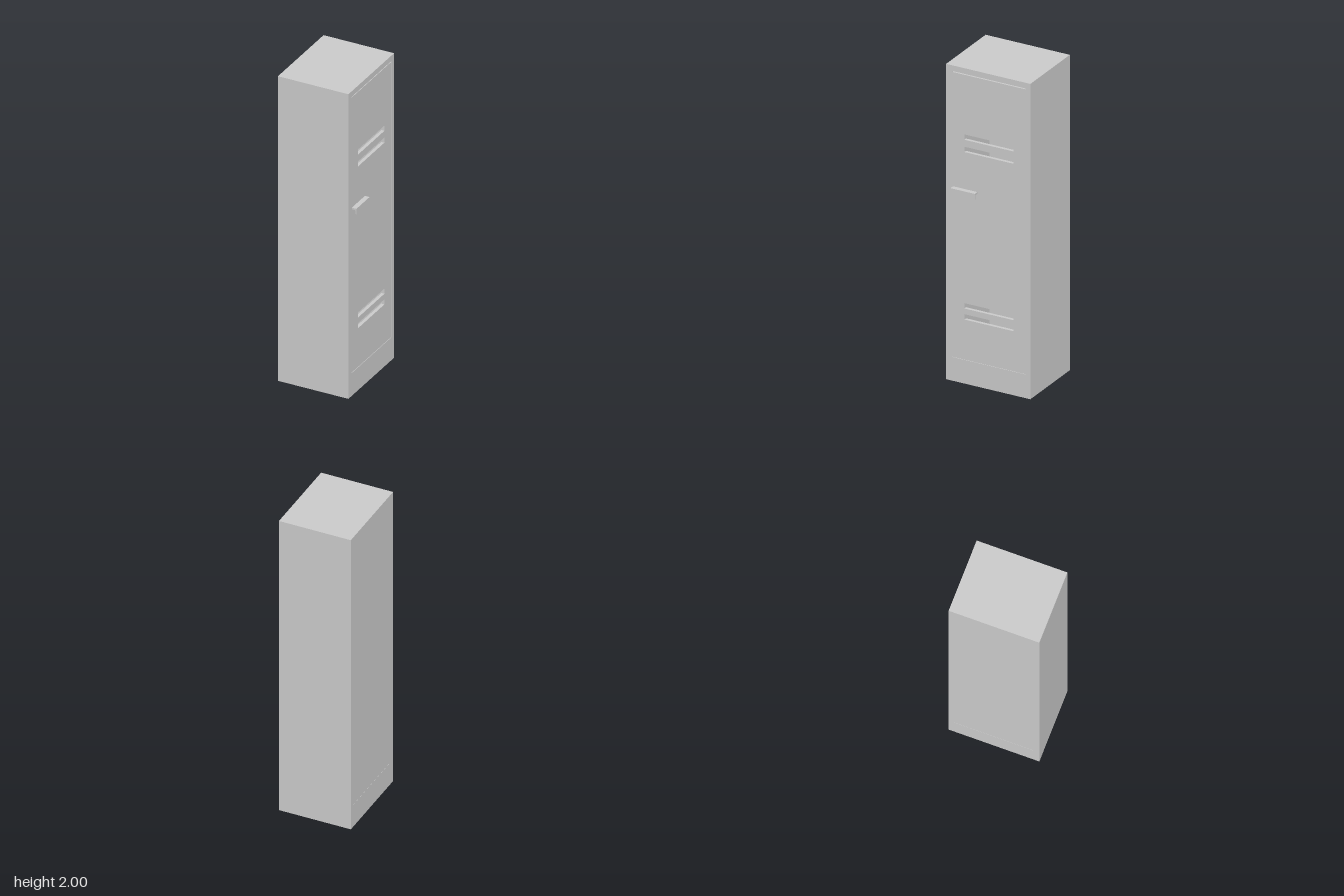
import * as THREE from 'three';

const material = new THREE.MeshStandardMaterial({ color: 0xcccccc, flatShading: true });

// Rectangle outline in the side plane: u runs along -z, y is up
function rectangle(PathType, u0, u1, y0, y1) {
  const p = new PathType();
  p.moveTo(u0, y0);
  p.lineTo(u1, y0);
  p.lineTo(u1, y1);
  p.lineTo(u0, y1);
  p.closePath();
  return p;
}

// Panel with rectangular holes, extruded along x from x0 to x1
function panel(name, outline, holes, x0, x1) {
  const shape = rectangle(THREE.Shape, ...outline);
  for (const h of holes) shape.holes.push(rectangle(THREE.Path, ...h));
  const geometry = new THREE.ExtrudeGeometry(shape, { depth: x1 - x0, bevelEnabled: false });
  geometry.rotateY(Math.PI / 2).translate(x0, 0, 0);
  const mesh = new THREE.Mesh(geometry, material);
  mesh.name = name;
  return mesh;
}

function box(name, x0, x1, y0, y1, z0, z1) {
  const geometry = new THREE.BoxGeometry(x1 - x0, y1 - y0, z1 - z0);
  const mesh = new THREE.Mesh(geometry, material);
  mesh.position.set((x0 + x1) / 2, (y0 + y1) / 2, (z0 + z1) / 2);
  mesh.name = name;
  return mesh;
}

export function createModel() {
  const locker = new THREE.Group();
  locker.name = 'locker';
  const back = -0.245, face = 0.215;

  // Hollow cabinet: walls, top and plinth as one frame, closed by a back panel
  const opening = [-0.241, 0.246, 0.15, 1.964];
  locker.add(panel('cabinetShell', [-0.279, 0.279, 0, 2], [opening], back, face));
  locker.add(box('backPanel', back + 0.001, back + 0.02, 0.15, 1.964, -0.246, 0.241));

  // Inner shelf above the upper vents
  locker.add(box('shelf', back + 0.02, face - 0.03, 1.6, 1.62, -0.246, 0.241));

  // Door slightly recessed in the frame, with two pairs of vent slots
  const vents = [0.405, 0.475, 1.467, 1.545].map((y) => [-0.16, 0.165, y, y + 0.034]);
  locker.add(panel('door', [-0.24, 0.245, 0.151, 1.957], vents, face - 0.022, face - 0.002));

  // Hooked pull: flat top with a lip hanging from its outer edge
  const profile = new THREE.Shape();
  [[face - 0.004, 1.222], [0.236, 1.222], [0.236, 1.197], [0.243, 1.197], [0.243, 1.233], [face - 0.004, 1.233]]
    .forEach(([x, y], i) => (i ? profile.lineTo(x, y) : profile.moveTo(x, y)));
  const pull = new THREE.ExtrudeGeometry(profile, { depth: 0.161, bevelEnabled: false });
  pull.translate(0, 0, 0.073);
  const handle = new THREE.Mesh(pull, material);
  handle.name = 'handle';
  locker.add(handle);

  return locker;
}
